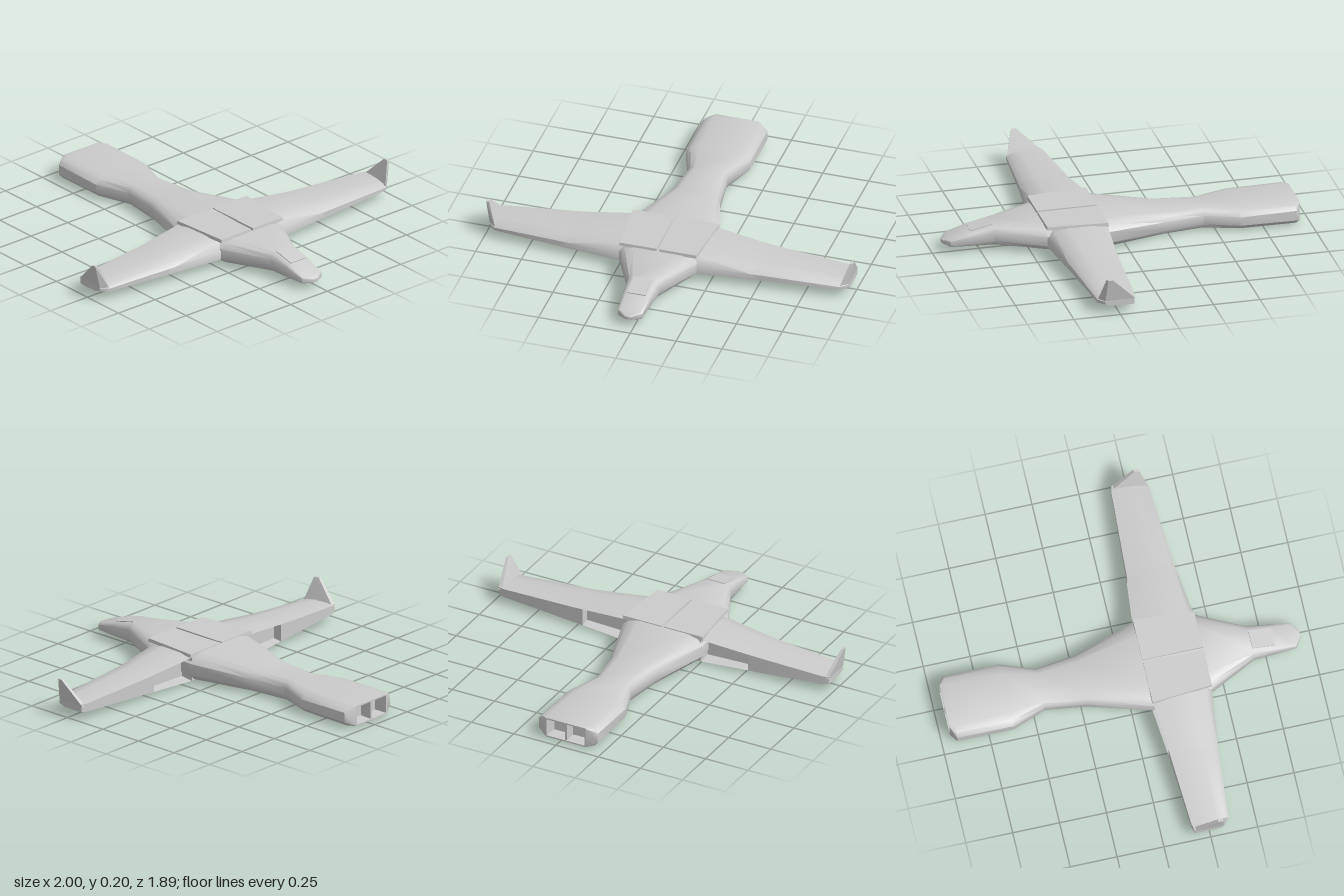
import * as THREE from 'three';
import { toCreasedNormals } from 'three/addons/utils/BufferGeometryUtils.js';

const CX = -0.03; // centre line of the fuselage
const material = new THREE.MeshStandardMaterial({ color: 0xcccccc, side: THREE.DoubleSide });

// Skin a list of rings (each a list of [x, y, z]) and cap both ends.
function loft(rings, flip = false, crease = 0.75) {
  const n = rings[0].length, pos = rings.flat(2), idx = [];
  const tri = (a, b, c) => (flip ? idx.push(a, c, b) : idx.push(a, b, c));
  for (let i = 0; i < rings.length - 1; i++) {
    for (let j = 0; j < n; j++) {
      const a = i * n + j, b = i * n + (j + 1) % n;
      tri(a, a + n, b);
      tri(b, a + n, b + n);
    }
  }
  [0, rings.length - 1].forEach((r, end) => {
    const centre = pos.length / 3;
    for (let k = 0; k < 3; k++) pos.push(rings[r].reduce((sum, p) => sum + p[k], 0) / n);
    for (let j = 0; j < n; j++) {
      const a = r * n + j, b = r * n + (j + 1) % n;
      if (end) tri(centre, b, a); else tri(centre, a, b);
    }
  });
  const geometry = new THREE.BufferGeometry();
  geometry.setAttribute('position', new THREE.Float32BufferAttribute(pos, 3));
  geometry.setIndex(idx);
  return toCreasedNormals(geometry, crease);
}

// Straight-sided prism between two quads given as [x, z] corners.
function prism(bottom, top, y0, y1, flip) {
  return loft([bottom.map(([x, z]) => [x, y0, z]), top.map(([x, z]) => [x, y1, z])], flip, 0.4);
}

export function createModel() {
  const model = new THREE.Group();
  const add = (name, geometry) => {
    const mesh = new THREE.Mesh(geometry, material);
    mesh.name = name;
    model.add(mesh);
    return mesh;
  };

  // Fuselage: [z, half width, bottom, top, chamfer 0..1], nose to tail, then into the exhaust
  const stations = [
    [0.945, 0.015, 0.045, 0.062, 0.2],
    [0.91, 0.066, 0.037, 0.075, 0.5],
    [0.8, 0.076, 0.03, 0.11, 0.8],
    [0.68, 0.087, 0.025, 0.137, 1],
    [0.43, 0.21, 0.012, 0.146, 1],
    [0.2, 0.23, 0.003, 0.153, 1],
    [0.105, 0.237, 0.0, 0.155, 1],
    [-0.22, 0.137, 0, 0.12, 1],
    [-0.44, 0.107, 0, 0.118, 1],
    [-0.62, 0.175, 0, 0.118, 1],
    [-0.92, 0.175, 0, 0.118, 0.9],
    [-0.95, 0.12, 0.004, 0.116, 0.1],
    [-0.95, 0.113, 0.012, 0.108, 0],
    [-0.88, 0.105, 0.015, 0.105, 0],
  ];
  add('fuselage', loft(stations.map(([z, w, y0, y1, c]) => {
    const side = [[1, 0.5 - 0.5 * (1 - 0.6 * c)], [1, 0.5 + 0.5 * (1 - 0.6 * c)],
      [1 - 0.13 * c, 1 - 0.1 * c], [1 - 0.38 * c, 1]];
    const low = [[1 - 0.38 * c, 0], [1 - 0.13 * c, 0.1 * c]];
    const half = [...low, ...side];
    const mirrored = half.map(([u, v]) => [-u, v]).reverse();
    return [...half, ...mirrored].map(([u, v]) => [CX + u * w, y0 + v * (y1 - y0), z]);
  })));

  // Divider between the two tail exhausts
  add('exhaustDivider', new THREE.BoxGeometry(0.012, 0.094, 0.065)).position.set(CX, 0.06, -0.915);

  // Cockpit windshield on the nose slope
  const windshield = add('windshield', new THREE.BoxGeometry(0.1, 0.01, 0.122));
  windshield.position.set(CX, 0.123, 0.74);
  windshield.rotation.x = 0.22;

  for (const s of [1, -1]) {
    const label = s > 0 ? 'left' : 'right';
    const flip = s < 0;

    // Wing: [x, rear z, front z, bottom, top, depth of the exhaust recess]
    const root = CX + s * 0.12, inner = CX + s * 0.225, outer = CX + s * 0.49;
    const wing = [
      [root, 0.105, 0.43, 0.004, 0.153, 0],
      [inner, 0.108, 0.427, 0.005, 0.15, 0],
      [inner, 0.108, 0.427, 0.005, 0.15, 0.07],
      [outer, 0.133, 0.394, 0.014, 0.12, 0.05],
      [outer, 0.133, 0.394, 0.014, 0.12, 0],
      [CX + s * 0.54, 0.136, 0.389, 0.016, 0.116, 0],
      [s * 0.94, 0.16, 0.358, 0.038, 0.09, 0],
      [s * 0.978, 0.17, 0.325, 0.042, 0.088, 0],
    ];
    add(label + 'Wing', loft(wing.map(([x, z0, z1, y0, y1, d]) => [
      [0.3, 0, 0], [0.8, 0.06, 0], [1, 0.3, 0], [1, 0.62, 0], [0.9, 0.86, 0],
      [0.65, 0.98, 0], [0.25, 1, 0], [0, 0.93, 0],
      [0, 0.88, d], [0, 0.1, d], [0, 0.04, 0],
    ].map(([t, v, in_]) => [x, y0 + v * (y1 - y0), z0 + t * (z1 - z0) + in_])), flip));

    // Upswept fin on the wing tip
    add(label + 'Fin', prism(
      [[s * 0.978, 0.165], [s * 0.978, 0.325], [s * 0.94, 0.355], [s * 0.955, 0.165]],
      [[s * 1.0, 0.29], [s * 1.0, 0.315], [s * 0.982, 0.32], [s * 0.986, 0.29]],
      0.075, 0.198, flip));

    // Raised back panel, split by a narrow seam
    add(label + 'BackPanel', prism(
      [[CX + s * 0.237, 0.105], [CX + s * 0.21, 0.43], [CX + s * 0.007, 0.43], [CX + s * 0.007, 0.105]],
      [[CX + s * 0.235, 0.107], [CX + s * 0.208, 0.428], [CX + s * 0.007, 0.428], [CX + s * 0.007, 0.107]],
      0.142, 0.16, flip));
  }
  return model;
}
